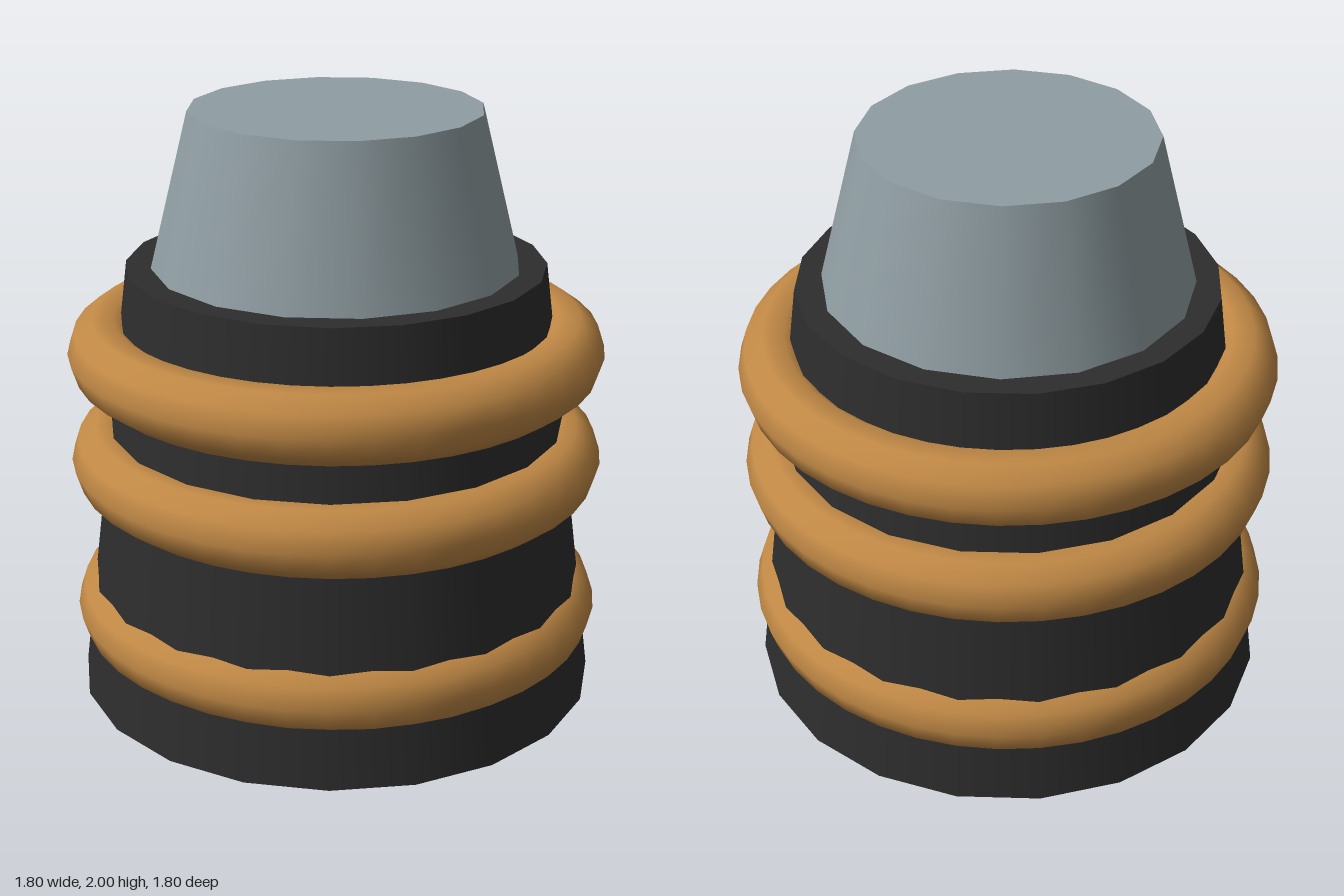
import * as THREE from 'three';

const material = (name, color) => {
  const m = new THREE.MeshStandardMaterial({ color });
  m.name = name;
  return m;
};

export function createModel() {
  const group = new THREE.Group();
  group.name = 'ringedPlug';
  const charcoal = material('charcoal', 0x2d2d2d);
  const steel = material('steel', 0x8f9da2);
  const copper = material('copper', 0xc08845);

  const add = (name, geometry, mat, y) => {
    const mesh = new THREE.Mesh(geometry, mat);
    mesh.name = name;
    mesh.position.y = y;
    group.add(mesh);
    return mesh;
  };

  // Tapered dark body
  add('body', new THREE.CylinderGeometry(0.70, 0.89, 1.48, 20), charcoal, 0.74);

  // Tapered metal tip
  add('tip', new THREE.CylinderGeometry(0.485, 0.615, 0.52, 16), steel, 1.74);

  // Three equal rings around the body
  const ringGeometry = new THREE.TorusGeometry(0.78, 0.12, 10, 40);
  ringGeometry.rotateX(Math.PI / 2);
  [['lowerRing', 0.285], ['middleRing', 0.82], ['upperRing', 1.195]].forEach(([name, y]) =>
    add(name, ringGeometry, copper, y));

  return group;
}
